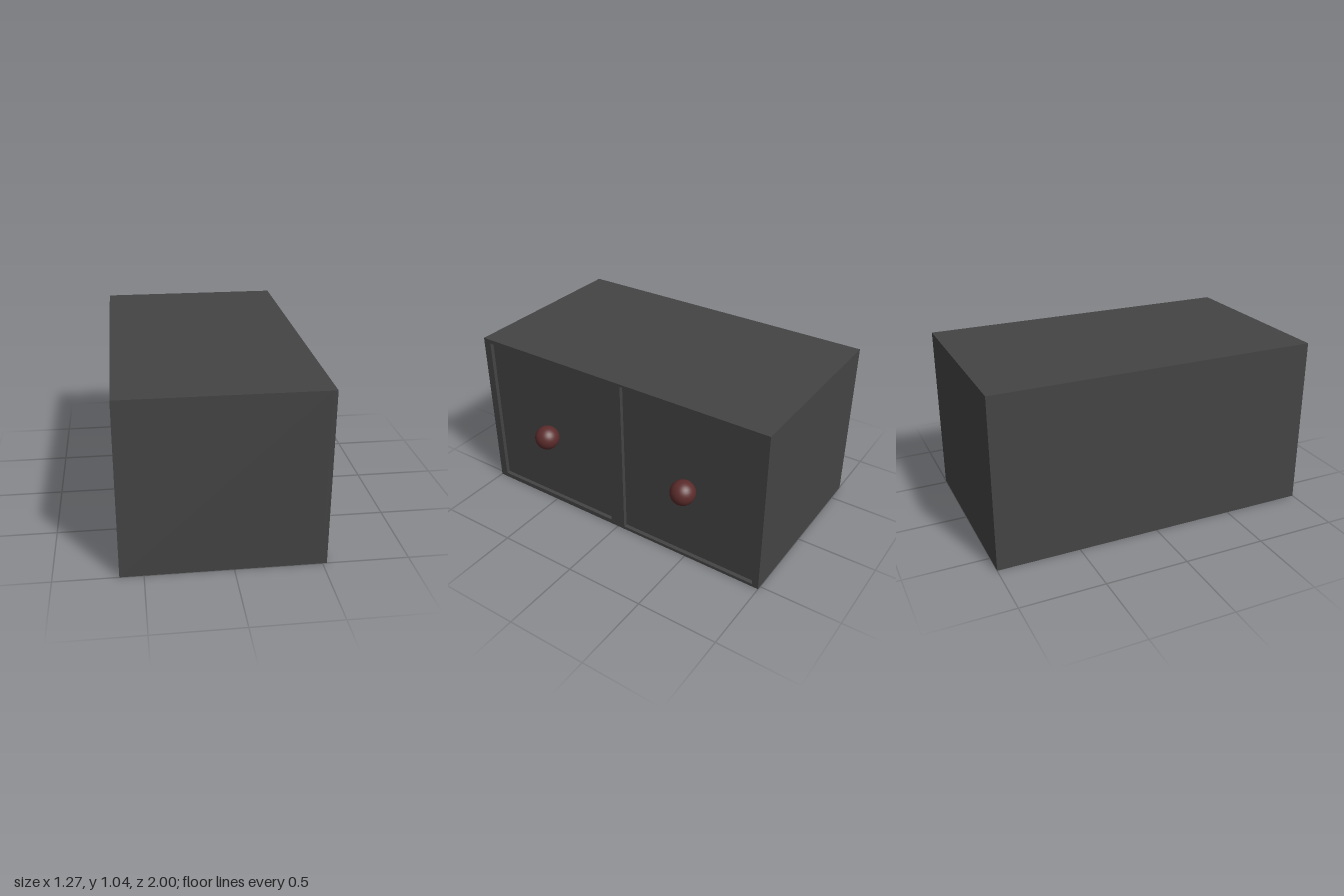
import * as THREE from 'three';

const X0 = -0.635, X1 = 0.525, HEIGHT = 1.045, RECESS = 0.025;

// Each door opening: z range, y range and the z of its knob
const DOORS = [
  { name: 'frontDoor', z: [0.05, 0.95], y: [0.03, 1.02], knobZ: 0.51 },
  { name: 'rearDoor', z: [-0.96, -0.05], y: [0.02, 1.03], knobZ: -0.5 },
];

function rectangle(path, u0, v0, u1, v1) {
  path.moveTo(u0, v0);
  path.lineTo(u1, v0);
  path.lineTo(u1, v1);
  path.lineTo(u0, v1);
  path.closePath();
  return path;
}

export function createModel() {
  const group = new THREE.Group();
  const caseMaterial = new THREE.MeshStandardMaterial({ color: 0x444444 });
  const knobMaterial = new THREE.MeshStandardMaterial({ color: 0x5c2c2c });

  const add = (name, geometry, material, x = 0, y = 0, z = 0) => {
    const mesh = new THREE.Mesh(geometry, material);
    mesh.name = name;
    mesh.position.set(x, y, z);
    group.add(mesh);
  };

  // Cabinet body; its +x side forms the recessed door panels
  const depth = X1 - RECESS - X0;
  add('cabinetBody', new THREE.BoxGeometry(depth, HEIGHT, 2), caseMaterial, X0 + depth / 2, HEIGHT / 2, 0);

  // Raised frame around both doors, drawn with u = -z and extruded along x
  const frame = rectangle(new THREE.Shape(), -1, 0, 1, HEIGHT);
  for (const { z, y } of DOORS) {
    frame.holes.push(rectangle(new THREE.Path(), -z[1], y[0], -z[0], y[1]));
  }
  const frameGeometry = new THREE.ExtrudeGeometry(frame, { depth: RECESS, bevelEnabled: false });
  frameGeometry.rotateY(Math.PI / 2);
  add('doorFrame', frameGeometry, caseMaterial, X1 - RECESS);

  // Round knob on each door
  for (const { name, knobZ } of DOORS) {
    add(name + 'Knob', new THREE.SphereGeometry(0.076, 32, 16), knobMaterial, 0.556, 0.5, knobZ);
  }

  return group;
}
